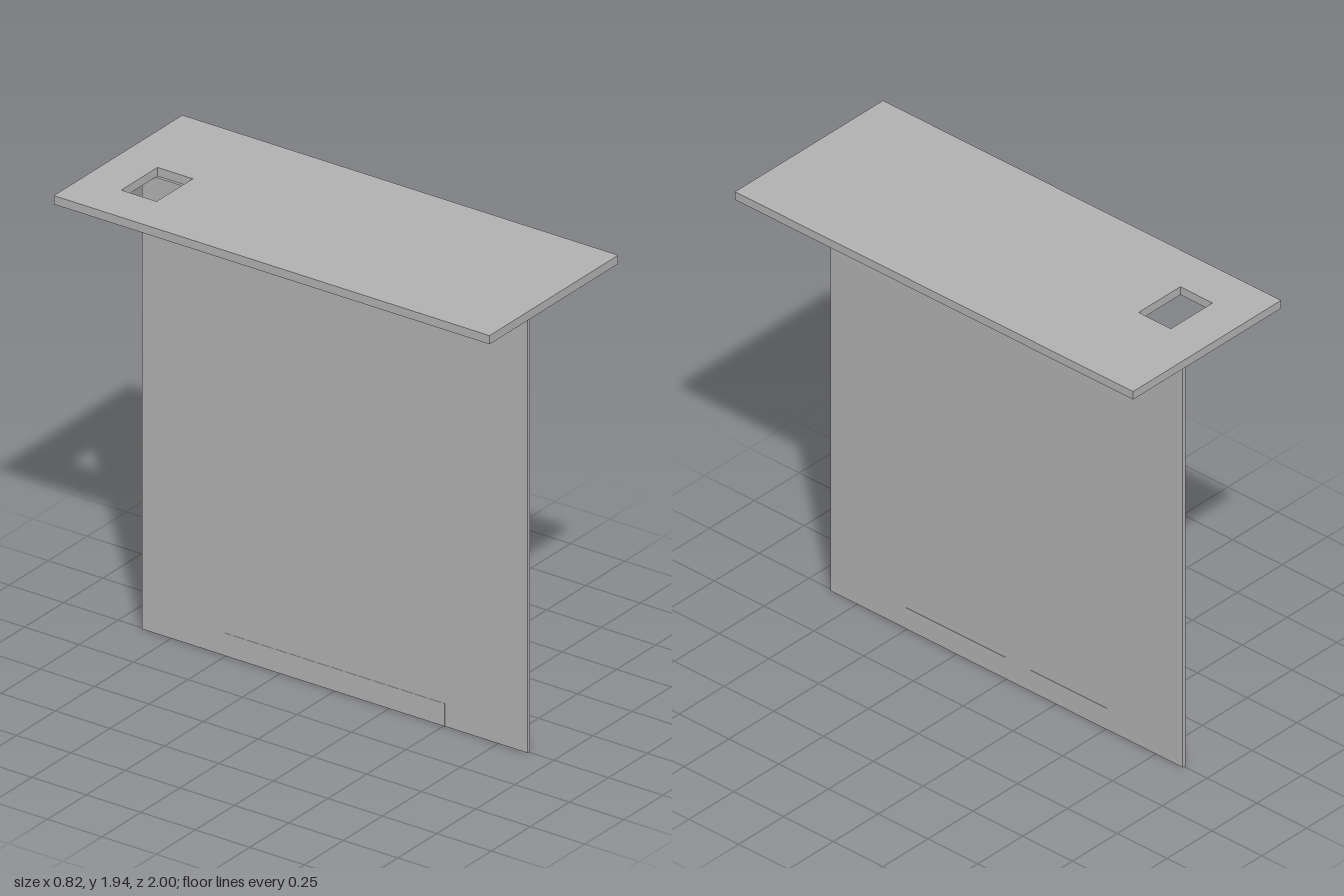
import * as THREE from 'three';

// Rectangular outline from corner to corner
function rect(path, x0, y0, x1, y1) {
  path.moveTo(x0, y0);
  path.lineTo(x1, y0);
  path.lineTo(x1, y1);
  path.lineTo(x0, y1);
  path.closePath();
  return path;
}

export function createModel() {
  const model = new THREE.Group();
  const grey = new THREE.MeshStandardMaterial({ color: 0xb0b0b0 });
  grey.name = 'grey';

  const add = (name, geometry, x = 0, y = 0, z = 0) => {
    const mesh = new THREE.Mesh(geometry, grey);
    mesh.name = name;
    mesh.position.set(x, y, z);
    model.add(mesh);
  };

  // Top board with a rectangular opening near the back
  const outline = rect(new THREE.Shape(), -0.412, -1, 0.412, 1);
  outline.holes.push(rect(new THREE.Path(), -0.228, 0.66, 0.004, 0.822));
  const board = new THREE.ExtrudeGeometry(outline, { depth: 0.036, bevelEnabled: false });
  board.rotateX(-Math.PI / 2);
  add('topBoard', board, 0, 1.904);

  // Thin upright panel under the board
  add('uprightPanel', new THREE.BoxGeometry(0.016, 1.904, 1.77), 0, 0.952);

  // Mounting flange folded out from the panel's top edge
  add('mountingFlange', new THREE.BoxGeometry(0.137, 0.016, 1.77), 0.0765, 1.896);

  // Barely raised strip along the foot of the panel
  add('footStrip', new THREE.BoxGeometry(0.018, 0.095, 1.01), 0, 0.0475);

  return model;
}
